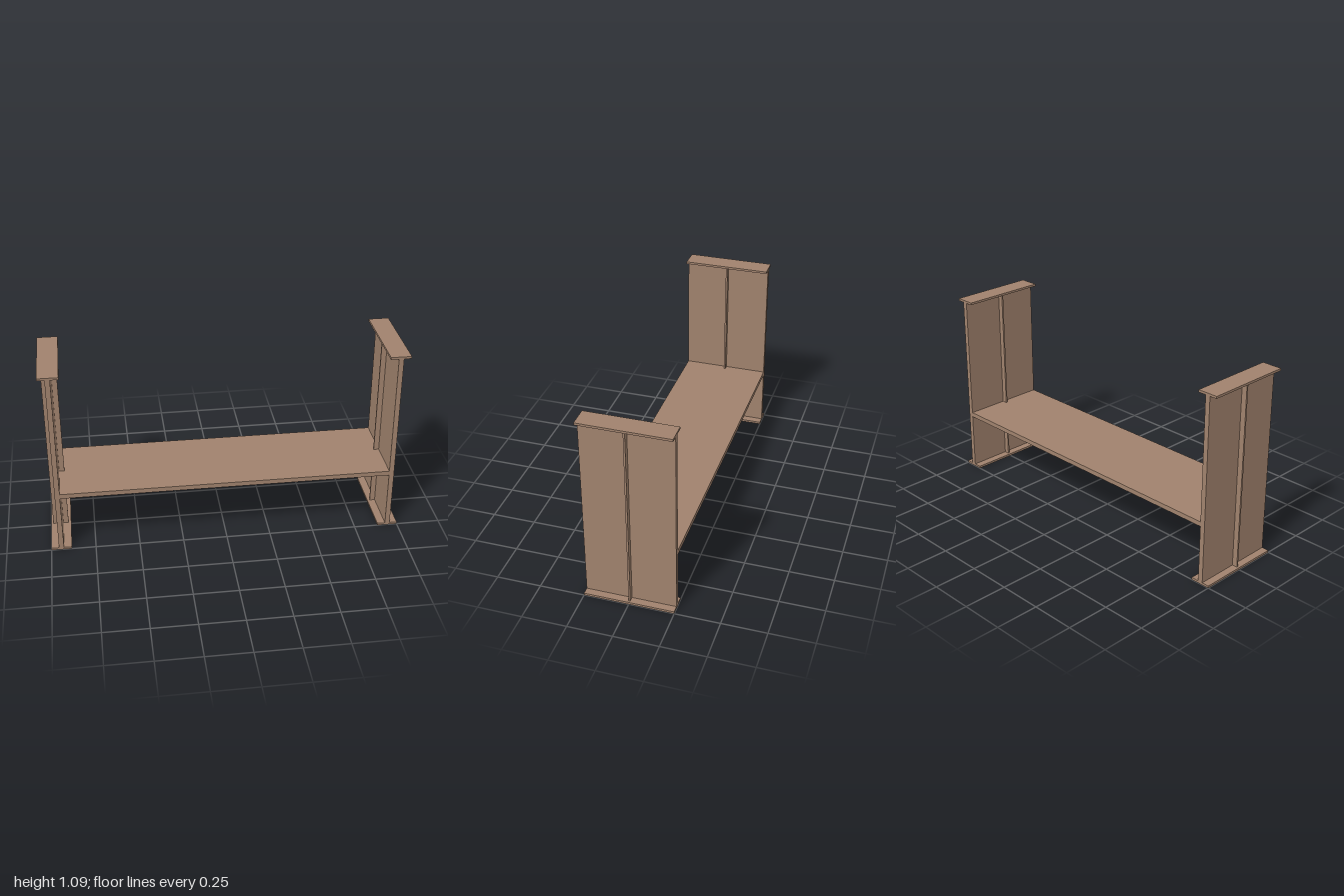
import * as THREE from 'three';

export function createModel() {
  const group = new THREE.Group();
  group.name = 'bench';
  const wood = new THREE.MeshStandardMaterial({ color: 0xa0826d });
  wood.name = 'brown wood';

  // Box given by its limits on each axis
  function box(parent, name, [x0, x1], [y0, y1], [z0, z1]) {
    const mesh = new THREE.Mesh(new THREE.BoxGeometry(x1 - x0, y1 - y0, z1 - z0), wood);
    mesh.name = name;
    mesh.position.set((x0 + x1) / 2, (y0 + y1) / 2, (z0 + z1) / 2);
    parent.add(mesh);
  }

  const depth = [-0.25, 0.25];
  const rib = [-0.005, 0.005];
  const height = 1.09, plate = 0.013;
  const seatBottom = 0.341, seatTop = 0.368, beamBottom = 0.212;

  // End panels with foot and cap plates, stiffened by thin ribs
  for (const [side, s] of [['left', 1], ['right', -1]]) {
    const end = new THREE.Group();
    end.name = side + 'End';
    const span = (a, b) => (s > 0 ? [a, b] : [-b, -a]);
    box(end, 'footPlate', span(0.885, 1), [0, plate], depth);
    box(end, 'capPlate', span(0.885, 1), [height - plate, height], depth);
    box(end, 'panel', span(0.93, 0.958), [plate, height - plate], depth);
    box(end, 'outerRib', span(0.958, 0.988), [plate, height - plate], rib);
    box(end, 'upperInnerRib', span(0.9, 0.93), [seatTop, height - plate], rib);
    box(end, 'lowerInnerRib', span(0.9, 0.93), [plate, beamBottom], rib);
    group.add(end);
  }

  // Seat carried on a T-shaped beam
  box(group, 'seat', [-0.93, 0.93], [seatBottom, seatTop], depth);
  box(group, 'beamWeb', [-0.93, 0.93], [beamBottom, seatBottom], rib);
  box(group, 'beamFlange', [-0.9, 0.9], [beamBottom, beamBottom + 0.012], [-0.035, 0.035]);

  return group;
}
